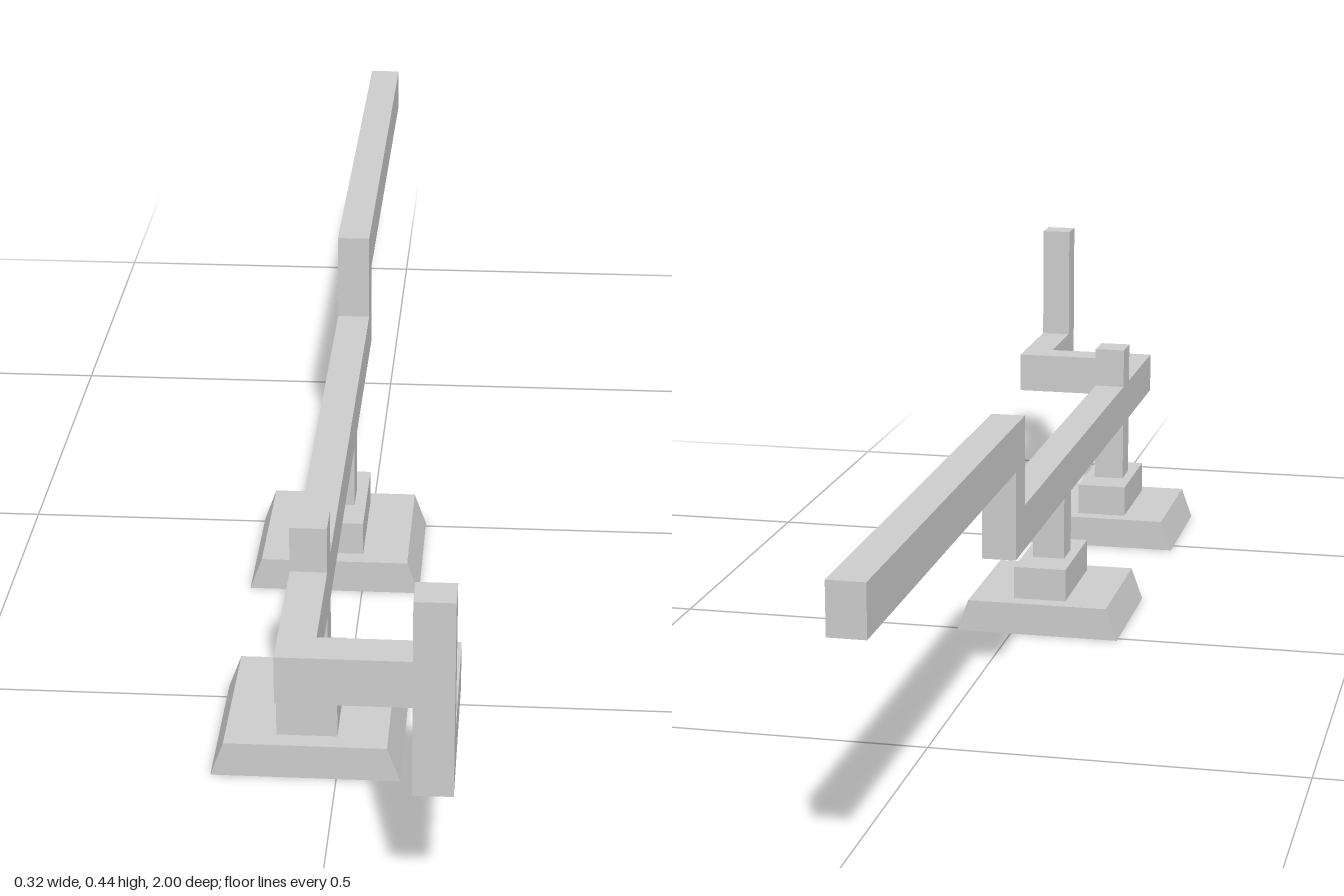
import * as THREE from 'three';

const material = new THREE.MeshStandardMaterial({ color: 0xcccccc, flatShading: true });
const BAR = { x0: -0.063, x1: -0.016, y0: 0.187, y1: 0.25 };

function addMesh(parent, name, geometry) {
  const mesh = new THREE.Mesh(geometry, material);
  mesh.name = name;
  parent.add(mesh);
  return mesh;
}

// Box given by its limits on each axis
function addBox(parent, name, x0, x1, y0, y1, z0, z1) {
  const geometry = new THREE.BoxGeometry(x1 - x0, y1 - y0, z1 - z0);
  geometry.translate((x0 + x1) / 2, (y0 + y1) / 2, (z0 + z1) / 2);
  return addMesh(parent, name, geometry);
}

function extrude(points, depth) {
  const shape = new THREE.Shape(points.map(([a, b]) => new THREE.Vector2(a, b)));
  return new THREE.ExtrudeGeometry(shape, { depth, bevelEnabled: false });
}

// Foot with sloped sides and a recess underneath, lofted through rectangles [y, halfX, halfZ]
function footGeometry() {
  const levels = [
    [0.047, 0.103, 0.107], [0, 0.12, 0.107],
    [0, 0.1, 0.087], [0.025, 0.092, 0.087],
  ];
  const rings = levels.map(([y, x, z]) => [[-x, y, z], [x, y, z], [x, y, -z], [-x, y, -z]]);
  const positions = [];
  const quad = (a, b, c, d) => positions.push(...a, ...b, ...c, ...a, ...c, ...d);
  for (let r = 0; r < rings.length - 1; r++) {
    for (let i = 0; i < 4; i++) {
      const j = (i + 1) % 4;
      quad(rings[r + 1][i], rings[r + 1][j], rings[r][j], rings[r][i]);
    }
  }
  quad(...rings[0]);
  quad(...[...rings[3]].reverse());
  const geometry = new THREE.BufferGeometry();
  geometry.setAttribute('position', new THREE.Float32BufferAttribute(positions, 3));
  geometry.computeVertexNormals();
  return geometry;
}

function createSupport(name, z) {
  const support = new THREE.Group();
  support.name = name;
  addMesh(support, 'foot', footGeometry()).position.x = -0.039;
  addBox(support, 'plinth', -0.077, 0, 0.047, 0.095, -0.082, 0.082);
  addBox(support, 'post', BAR.x0, BAR.x1, 0.095, BAR.y0, -0.025, 0.025);
  support.position.z = z;
  return support;
}

export function createModel() {
  const model = new THREE.Group();
  model.name = 'crankedRail';

  // Two supports, the front one with a peg above the rail
  const front = createSupport('frontSupport', 0.58);
  addBox(front, 'peg', BAR.x0, BAR.x1, BAR.y1, 0.311, -0.025, 0.025);
  model.add(front, createSupport('rearSupport', 0.097));

  // Rail stepping up towards the back, drawn in (z, y)
  const rail = extrude([
    [0.765, BAR.y0], [0.765, BAR.y1], [-0.2, BAR.y1], [-0.2, 0.377],
    [-1, 0.377], [-1, 0.311], [-0.257, 0.311], [-0.257, BAR.y0],
  ].map(([z, y]) => [z === -0.2 && y === 0.377 ? -0.2 : z, y]).map(([z, y]) => [z, y]), BAR.x1 - BAR.x0);
  rail.rotateY(-Math.PI / 2).translate(BAR.x1, 0, 0);
  addMesh(model, 'rail', rail);

  // Sideways crank at the front, drawn in (x, z)
  const crank = extrude([
    [BAR.x0, 0.765], [0.157, 0.765], [0.157, 1], [0.11, 1], [0.11, 0.815], [BAR.x0, 0.815],
  ], BAR.y1 - BAR.y0);
  crank.rotateX(Math.PI / 2).translate(0, BAR.y1, 0);
  addMesh(model, 'crank', crank);

  // Upright handle
  addBox(model, 'handle', 0.11, 0.157, BAR.y1, 0.435, 0.955, 1);

  return model;
}
